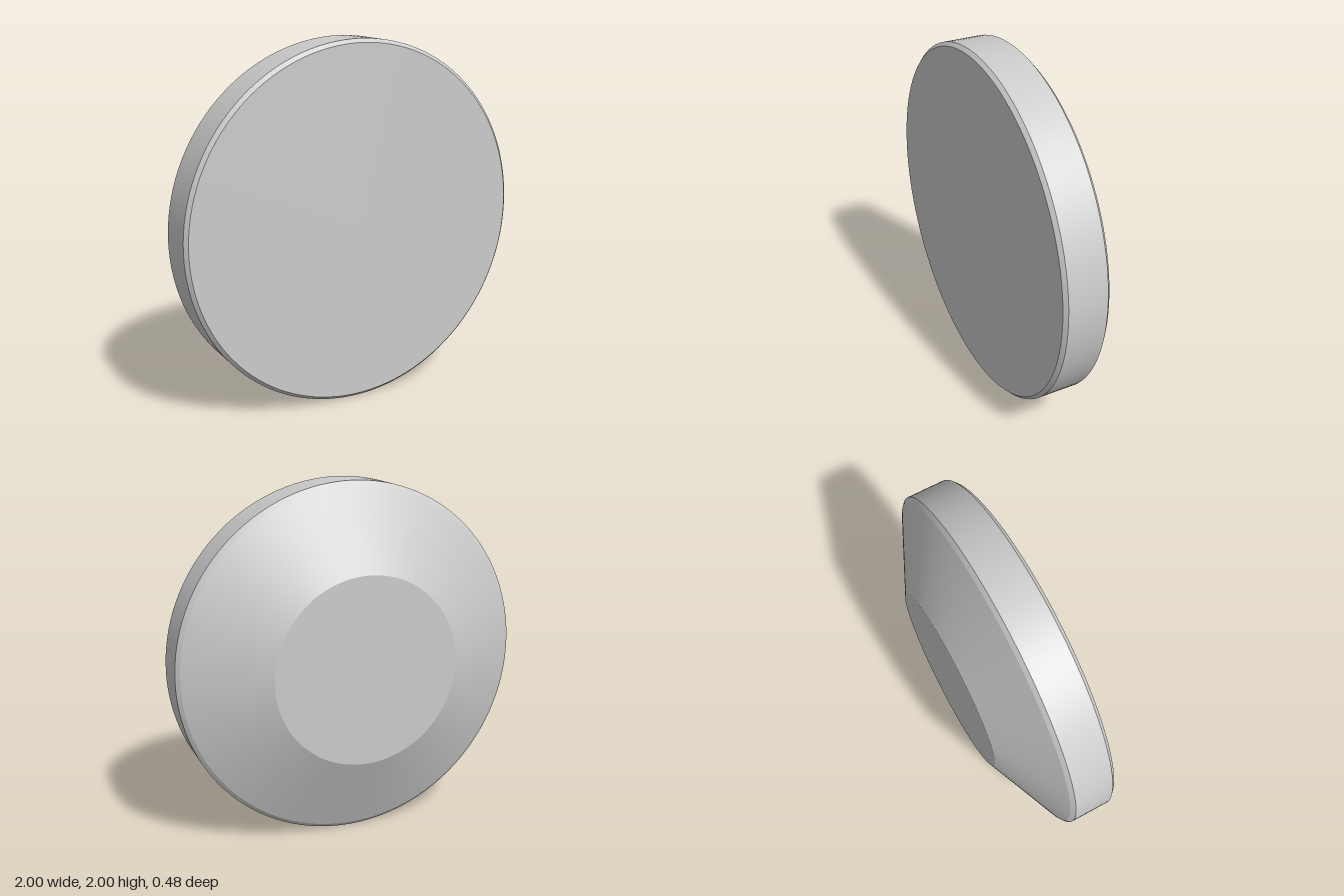
import * as THREE from 'three';
import { toCreasedNormals } from 'three/addons/utils/BufferGeometryUtils.js';

export function createModel() {
  const model = new THREE.Group();
  model.name = 'chamferedDisc';

  // Half-profile from the back centre to the front centre: [radius, depth]
  const profile = [
    [0, -0.236],      // flat back
    [0.53, -0.236],   // cone
    [0.977, -0.03],   // rear chamfer
    [1, -0.01],       // rim
    [1, 0.208],       // front chamfer
    [0.98, 0.228],    // flat front
    [0, 0.228],
  ].map(([r, d]) => new THREE.Vector2(r, d));

  const lathe = new THREE.LatheGeometry(profile, 128);
  lathe.rotateX(Math.PI / 2); // lathe axis becomes the front direction
  const geometry = toCreasedNormals(lathe, 0.2);

  const disc = new THREE.Mesh(
    geometry,
    new THREE.MeshStandardMaterial({ color: 0xcccccc })
  );
  disc.name = 'disc';
  disc.position.y = 1;
  disc.rotation.y = -0.009; // very slight turn about the vertical
  model.add(disc);

  return model;
}
